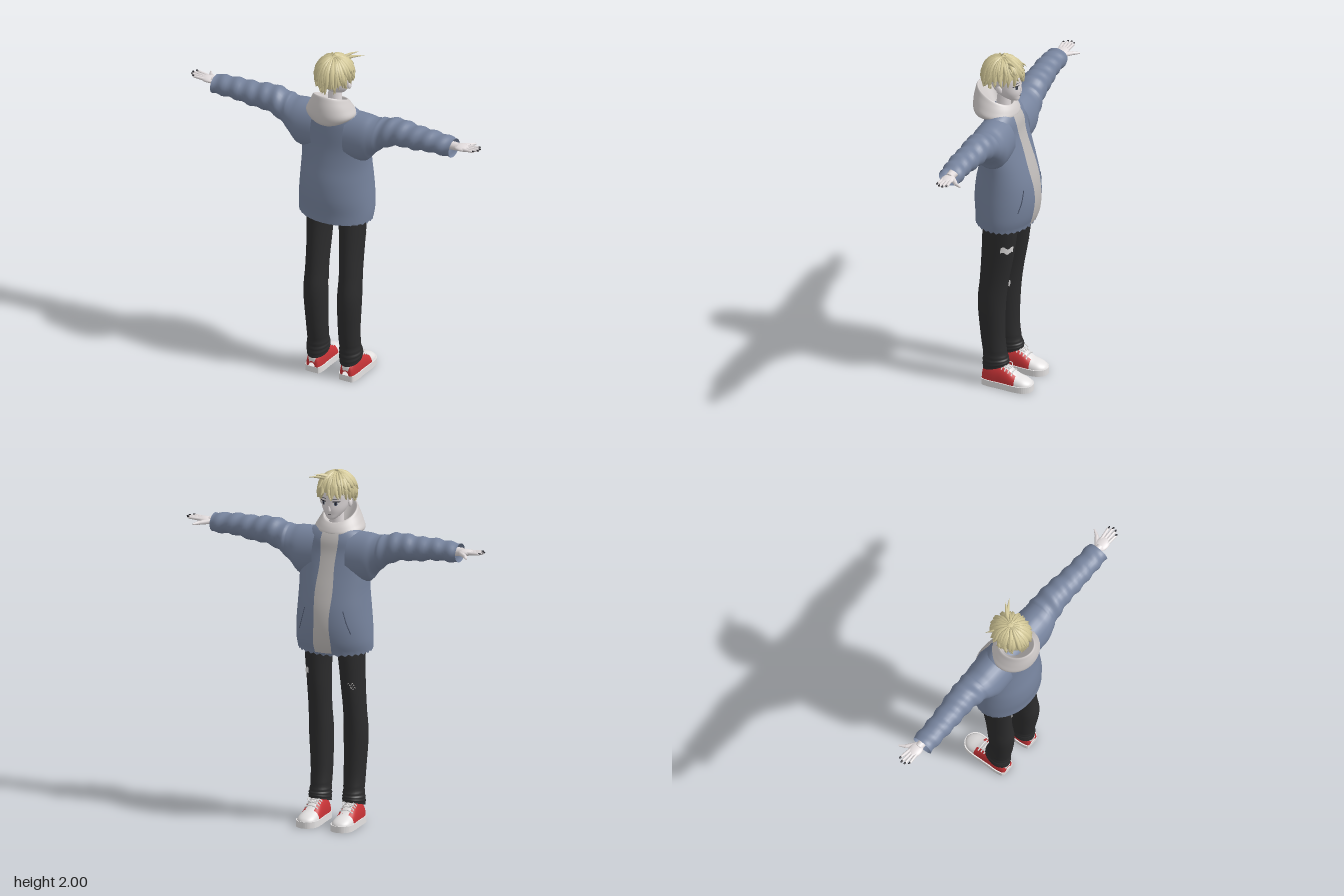
import * as THREE from 'three';
import { mergeVertices } from 'three/addons/utils/BufferGeometryUtils.js';

const V = (x, y, z) => new THREE.Vector3(x, y, z);
const paint = (name, color) => Object.assign(
  new THREE.MeshStandardMaterial({ color, side: THREE.DoubleSide }), { name });

// Smooth value of a table of rows at t in 0..1
function sample(rows, t) {
  const f = THREE.MathUtils.clamp(t, 0, 1) * (rows.length - 1);
  const i = Math.min(Math.floor(f), rows.length - 2), k = f - i;
  const at = j => rows[THREE.MathUtils.clamp(j, 0, rows.length - 1)];
  return rows[0].map((_, c) => {
    const [p, q, r, s] = [at(i - 1)[c], at(i)[c], at(i + 1)[c], at(i + 2)[c]];
    return q + 0.5 * k * (r - p + k * (2 * p - 5 * q + 4 * r - s + k * (3 * (q - r) + s - p)));
  });
}
// Position t along the table at which the first column reaches y
function find(rows, y) {
  let lo = 0, hi = 1;
  for (let i = 0; i < 24; i++) {
    const m = (lo + hi) / 2;
    if (sample(rows, m)[0] < y) lo = m; else hi = m;
  }
  return lo;
}
// Surface from a rule f(u, v)
function sheet(nu, nv, f) {
  const pos = [], idx = [], w = nu + 1;
  for (let j = 0; j <= nv; j++) for (let i = 0; i <= nu; i++) pos.push(...f(i / nu, j / nv).toArray());
  for (let j = 0; j < nv; j++) for (let i = 0; i < nu; i++) {
    const a = j * w + i;
    idx.push(a, a + 1, a + w, a + 1, a + w + 1, a + w);
  }
  let g = new THREE.BufferGeometry();
  g.setAttribute('position', new THREE.Float32BufferAttribute(pos, 3));
  g.setIndex(idx);
  g = mergeVertices(g, 1e-5);
  g.computeVertexNormals();
  return g;
}
// Upright body: rows are [y, centre x, centre z, radius x, radius z]; angle 0 is the back
const upright = rows => (a, t, o = 0) => {
  const [y, cx, cz, rx, rz] = sample(rows, t);
  return V(cx + (rx + o) * Math.sin(a), y, cz + (rz + o) * Math.cos(a));
};
const TAU = Math.PI * 2;

const TORSO = [[1.0, 0, .01, .215, .16], [1.06, 0, 0, .22, .17], [1.15, 0, -.002, .217, .178],
  [1.25, 0, -.002, .21, .17], [1.35, 0, 0, .205, .147], [1.45, 0, .008, .207, .123],
  [1.55, 0, .02, .205, .105], [1.62, 0, .022, .19, .095], [1.67, 0, .025, .14, .075], [1.7, 0, .025, .06, .045]];
const ARM = [[.1, 1.53, .02, .14, .11], [.2, 1.53, .02, .138, .11], [.25, 1.553, .02, .108, .1],
  [.3, 1.58, .015, .09, .09], [.36, 1.605, .015, .081, .083], [.42, 1.614, .015, .074, .078],
  [.5, 1.612, .02, .068, .073], [.6, 1.62, .025, .06, .068], [.7, 1.617, .025, .055, .065], [.745, 1.615, .025, .054, .064]];
const LEG = [[.1, .102, .027, .06, .075], [.14, .102, .027, .062, .075], [.19, .1, .032, .058, .069],
  [.3, .1, .045, .06, .07], [.5, .105, .05, .066, .08], [.65, .105, .035, .061, .083],
  [.8, .1025, .0175, .0625, .0925], [.95, .1, .005, .07, .1], [1.06, .092, 0, .082, .105]];
const HEAD = [[1.735, 0, -.045, .003, .003], [1.745, 0, -.036, .025, .03], [1.77, 0, -.015, .05, .056],
  [1.8, 0, 0, .068, .076], [1.84, 0, .01, .08, .085], [1.89, 0, .015, .086, .09], [1.94, 0, .02, .07, .073], [1.97, 0, .02, .02, .02]];
// Hood rows: back y, front y, back z, front z, half width
const HOOD = [[1.595, 1.64, .115, -.03, .05], [1.63, 1.65, .175, -.055, .11], [1.675, 1.66, .193, -.062, .142],
  [1.73, 1.68, .194, -.056, .126], [1.78, 1.7, .186, -.045, .106], [1.812, 1.715, .175, -.03, .09],
  [1.78, 1.7, .155, -.02, .076], [1.68, 1.67, .1, 0, .05]];
// Shoe rows: -z, half width, top height
const SHOE = [[-.1, .02, .06], [-.092, .038, .1], [-.05, .048, .132], [0, .05, .134], [.05, .054, .118],
  [.1, .058, .086], [.15, .055, .068], [.18, .036, .052], [.194, .01, .035]];

export function createModel() {
  const M = {
    skin: paint('skin', 0xe2dcdd), hair: paint('blond hair', 0xd3c898), jacket: paint('blue jacket', 0x76839d),
    hood: paint('pale hood', 0xd0cbca), shirt: paint('grey shirt', 0xbfbbb9), pants: paint('black trousers', 0x2c2c2d),
    red: paint('red canvas', 0xc63336), white: paint('white rubber', 0xe3e1e1), dark: paint('dark lines', 0x25242a),
    seam: paint('jacket seam', 0x4c566c),
  };
  const model = new THREE.Group();
  model.name = 'figure';
  const add = (parent, name, geo, mat, pos) => {
    const m = new THREE.Mesh(geo, mat);
    m.name = name;
    if (pos) m.position.copy(pos);
    parent.add(m);
    return m;
  };
  const rod = (parent, name, a, b, ra, rb, mat) => {
    const d = b.clone().sub(a);
    const m = add(parent, name, new THREE.CylinderGeometry(rb, ra, d.length(), 10), mat, a.clone().add(b).multiplyScalar(.5));
    m.quaternion.setFromUnitVectors(V(0, 1, 0), d.normalize());
  };
  const ball = (parent, name, r, s, pos, mat) =>
    add(parent, name, new THREE.SphereGeometry(r, 16, 12), mat, pos).scale.set(...s);
  let seed = 7;
  const rand = () => (seed = (seed * 16807) % 2147483647) / 2147483647;

  // Jacket body with a ragged hem, shirt strip down the open front
  const torso = upright(TORSO);
  add(model, 'jacketBody', sheet(64, 40, (u, v) => {
    const p = torso(u * TAU, v);
    if (v === 0) p.y += .012 * Math.cos(u * TAU) + (Math.round(u * 64) % 2 ? .007 : -.004);
    return p;
  }), M.jacket);
  const topV = find(TORSO, 1.685);
  add(model, 'shirtFront', sheet(8, 40, (u, v) => {
    const t = .01 + v * (topV - .01), rx = sample(TORSO, t)[3];
    const x = (u * 2 - 1) * (.048 + .004 * Math.sin(v * 17));
    return torso(Math.PI - Math.asin(x / rx), t, .005);
  }), M.shirt);

  // Hood lying open behind the neck
  add(model, 'hood', sheet(40, 32, (u, v) => {
    const [yb, yf, zb, zf, rx] = sample(HOOD, v), c = Math.cos(u * TAU);
    return V(rx * Math.sin(u * TAU), (yb + yf) / 2 + (yb - yf) / 2 * c, (zb + zf) / 2 + (zb - zf) / 2 * c);
  }), M.hood);

  // Sleeve, hand and pocket for one side
  for (const s of [1, -1]) {
    const side = new THREE.Group();
    side.name = s > 0 ? 'leftArm' : 'rightArm';
    side.scale.x = s;
    model.add(side);
    add(side, 'sleeve', sheet(28, 60, (u, v) => {
      const [x, cy, cz, ry, rz] = sample(ARM, v), a = u * TAU;
      const fold = x > .28 ? .004 * Math.sin(x * 75 + 1.2 * Math.sin(a)) : 0;
      return V(x, cy + (ry + fold) * Math.cos(a), cz + (rz + fold) * Math.sin(a));
    }), M.jacket);
    rod(side, 'wrist', V(.64, 1.622, .02), V(.77, 1.626, .02), .03, .023, M.skin);
    ball(side, 'palm', .05, [1, .32, .74], V(.79, 1.627, .018), M.skin);
    [[-.014, .893], [.006, .905], [.026, .902], [.045, .885]].forEach(([z, tip], i) => {
      const a = V(.805, 1.629, .018 + (z - .016) * .75), b = V(tip - .02, 1.634, z);
      rod(side, 'finger' + (i + 1), a, b, .0095, .0075, M.skin);
      ball(side, 'fingertip' + (i + 1), .0075, [2, .8, 1], b, M.skin);
      ball(side, 'fingernail' + (i + 1), .006, [1.5, .5, .9], V(tip - .011, 1.638, z), M.dark);
    });
    rod(side, 'thumbBase', V(.765, 1.622, 0), V(.807, 1.618, -.038), .015, .011, M.skin);
    rod(side, 'thumbTip', V(.807, 1.618, -.038), V(.828, 1.616, -.072), .011, .005, M.skin);
    const line = [[1.12, .155], [1.18, .135], [1.25, .115]].map(([y, x]) => {
      const t = find(TORSO, y);
      return torso(Math.PI - Math.asin(x / sample(TORSO, t)[3]), t);
    });
    add(side, 'pocketSeam', new THREE.TubeGeometry(new THREE.CatmullRomCurve3(line), 12, .003, 5), M.seam);
  }

  // Trousers and shoes
  const leg = upright(LEG), vY = y => find(LEG, y);
  ball(model, 'hips', 1, [.165, .05, .1], V(0, 1.05, 0), M.pants);
  const shoe = (t0, t1, lift = 0) => (u, v) => {
    const [z, w, h] = sample(SHOE, t0 + v * (t1 - t0)), a = (u - .5) * Math.PI;
    return V(.105 + (w + lift) * Math.sin(a), .02 + (h - .02 + lift) * Math.pow(Math.cos(a), .7), -z);
  };
  for (const s of [1, -1]) {
    const side = new THREE.Group();
    side.name = s > 0 ? 'leftLeg' : 'rightLeg';
    side.scale.x = s;
    model.add(side);
    add(side, 'trouserLeg', sheet(28, 50, (u, v) => {
      const p = leg(u * TAU, v, v > .05 && v < .3 ? .002 * Math.sin(v * 90) : 0);
      p.y += Math.max(0, 1 - v / .25) * (.012 - .3 * (p.z - .03));
      return p;
    }), M.pants);
    const patch = (name, a0, a1, y0, y1, mat) => add(side, name, sheet(8, 4, (u, v) => leg(
      a0 + u * (a1 - a0), vY(y0 + v * (y1 - y0) + .008 * Math.sin(u * 9)), .003)), mat);
    if (s > 0) patch('thighTear', 1.95, 2.85, .85, .885, M.white);
    else {
      patch('kneeTear', 4.2, 4.6, .53, .565, M.white);
      for (let i = 0; i < 3; i++) patch('thighScuff' + i, 2.35 + i * .08, 2.8 + i * .08, .79 + i * .012, .794 + i * .012, M.shirt);
    }
    add(side, 'shoeUpper', sheet(20, 24, shoe(0, .63)), M.red);
    add(side, 'toeCap', sheet(20, 14, shoe(.63, 1)), M.white);
    add(side, 'heelPatch', sheet(12, 6, (u, v) => shoe(.02, .14, .003)(.3 + u * .4, v)), M.white);
    add(side, 'tongue', sheet(8, 14, (u, v) => shoe(.4, .64, .003)(.36 + u * .28, v)), M.white);
    for (let i = 0; i < 4; i++) {
      const pts = [.27, .4, .5, .6, .73].map(u => shoe(.43 + i * .05, 1, .005)(u, 0));
      add(side, 'lace' + (i + 1), new THREE.TubeGeometry(new THREE.CatmullRomCurve3(pts), 12, .004, 5), M.white);
    }
    for (const d of [-1, 1]) add(side, d < 0 ? 'innerBow' : 'outerBow',
      new THREE.TorusGeometry(.014, .003, 5, 14), M.white, V(.105 + d * .02, .127, -.05)).rotation.set(1.1, d * .4, 0);
    const outline = new THREE.Shape();
    const half = SHOE.map(r => [r[0], r[1] + .006]);
    const pts = [...half.map(([z, w]) => new THREE.Vector2(.105 + w, z)), ...half.reverse().map(([z, w]) => new THREE.Vector2(.105 - w, z))];
    outline.setFromPoints(new THREE.SplineCurve([...pts, pts[0]]).getPoints(60));
    const sole = new THREE.ExtrudeGeometry(outline, { depth: .036, bevelEnabled: false });
    sole.rotateX(-Math.PI / 2);
    add(side, 'sole', sole, M.white);
  }

  // Head
  const face = upright(HEAD);
  rod(model, 'neck', V(0, 1.64, .03), V(0, 1.79, .02), .043, .038, M.skin);
  add(model, 'head', sheet(36, 32, (u, v) => face(u * TAU, v)), M.skin);
  const onFace = (x, y, o) => {
    const t = find(HEAD, y);
    return face(Math.PI - Math.asin(x / sample(HEAD, t)[3]), t, o);
  };
  const nose = add(model, 'nose', new THREE.ConeGeometry(.011, .035, 8), M.skin, V(0, 1.81, -.078));
  nose.rotation.x = -.35;
  const faceMark = (name, x, y, w, h, o, mat) => add(model, name, sheet(16, 4, (u, v) =>
    onFace(x + w * v * Math.cos(u * TAU), y + h * v * Math.sin(u * TAU), o)), mat);
  for (const s of [1, -1]) {
    ball(model, 'ear', .02, [.5, 1.2, .9], V(s * .086, 1.828, .015), M.skin);
    faceMark('eyeWhite', s * .036, 1.834, .018, .012, .002, M.white);
    faceMark('iris', s * .035, 1.834, .008, .012, .0035, M.seam);
    faceMark('pupil', s * .035, 1.834, .004, .007, .005, M.dark);
    faceMark('upperLash', s * .037, 1.846, .02, .003, .005, M.dark);
    faceMark('eyebrow', s * .036, 1.862, .018, .002, .003, M.dark);
  }
  faceMark('mouth', 0, 1.773, .013, .0015, .003, M.dark);

  // Hair: a shell over the skull, then layers of pointed locks; angle 0 is the back
  const scalp = (a, u, o) => {
    const th = Math.min(u, 1) * Math.PI / 2, low = Math.max(0, u - 1);
    const r = Math.sin(th) * (1 - .3 * low * low), back = Math.cos(a) > 0 ? .108 : .106;
    return V((.093 + o) * r * Math.sin(a), 1.89 + (.1 + o) * Math.cos(th) - low * .13, .03 + (back + o) * r * Math.cos(a));
  };
  const reach = a => {
    const c = Math.cos(a);
    return c > 0 ? 1.22 + .36 * c : 1.22 + .05 * c;
  };
  add(model, 'hairShell', sheet(40, 16, (u, v) => scalp(u * TAU, v * (reach(u * TAU) - .18), 0)), M.hair);
  const lock = (a, u0, u1, w, o, swing) => add(model, 'hairLock', sheet(4, 8, (u, v) => {
    const k = u * 2 - 1, width = w * Math.pow(1 - v, .6);
    return scalp(a + k * width + swing * v * v, u0 + v * (u1 - u0), (o + .01 * v) * (1 - Math.abs(k)) + .001);
  }), M.hair);
  [[18, .08, .7, .28, .009], [20, .3, .88, .25, .009], [22, .5, 1.02, .22, .008]].forEach(([n, u0, len, w, o]) => {
    for (let i = 0; i < n; i++) {
      const a = (i + rand() * .6) / n * TAU;
      lock(a, u0, reach(a) * len + rand() * .1, w, o, (rand() - .4) * .45);
    }
  });
  // Stray tufts at the forehead and crown
  [[V(.04, 1.965, -.03), V(.085, 1.975, -.06), V(.125, 1.972, -.085)],
    [V(.03, 1.97, -.02), V(.06, 1.99, -.055), V(.09, 1.988, -.085)],
    [V(-.06, 1.93, -.03), V(-.09, 1.93, -.05), V(-.1, 1.9, -.07)]].forEach((p, i) => {
    const c = new THREE.QuadraticBezierCurve3(...p);
    add(model, 'tuft' + (i + 1), sheet(6, 8, (u, v) => {
      const r = .014 * (1 - v), q = c.getPoint(v);
      return q.add(V(.4 * r * Math.sin(u * TAU), r * Math.cos(u * TAU), r * Math.sin(u * TAU)));
    }), M.hair);
  });
  return model;
}
